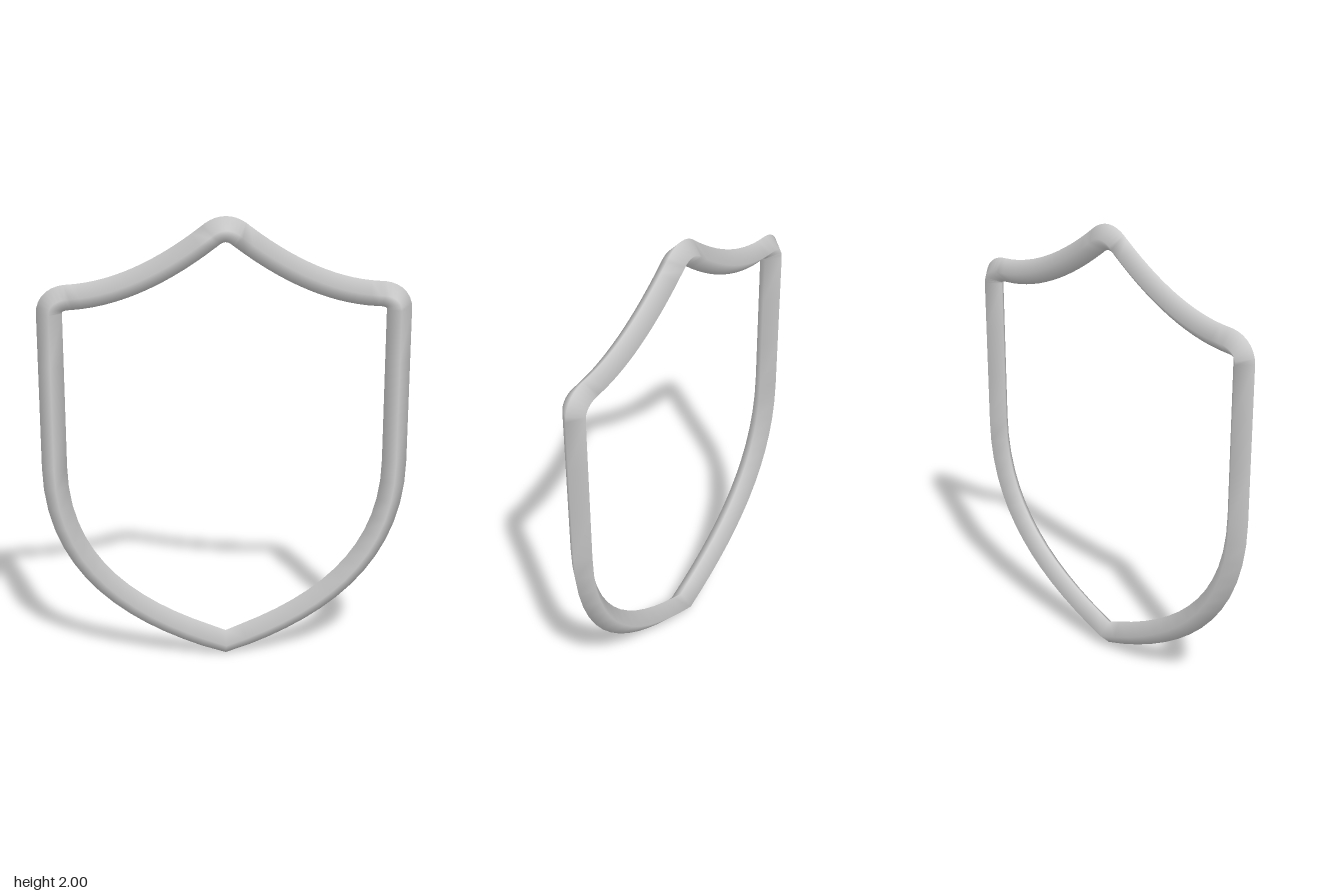
import * as THREE from 'three';

const RADIUS = 0.055;

// Right half of the rim's centre line, from the bottom tip up to the peak
function halfOutline() {
  const v = (x, y) => new THREE.Vector2(x, y);
  const curves = [
    [new THREE.CubicBezierCurve(v(0, 0.056), v(0.42, 0.2), v(0.752, 0.44), v(0.752, 0.91)), 14], // lower curve
    [new THREE.LineCurve(v(0.752, 0.91), v(0.752, 1.595)), 3], // straight side
    [new THREE.CubicBezierCurve(v(0.752, 1.595), v(0.752, 1.635), v(0.72, 1.663), v(0.66, 1.663)), 8], // shoulder
    [new THREE.QuadraticBezierCurve(v(0.66, 1.663), v(0.38, 1.68), v(0.07, 1.915)), 14], // sweep to the peak
    [new THREE.QuadraticBezierCurve(v(0.07, 1.915), v(0.035, 1.945), v(0, 1.945)), 5], // rounded peak
  ];
  const points = [];
  for (const [curve, n] of curves) points.push(...curve.getPoints(n).slice(0, -1));
  return [...points, v(0, 1.945)];
}

// Sweep a four-sided section round a closed, counter-clockwise loop
function sweepLoop(points, radius, sides) {
  const n = points.length, positions = [], index = [];
  points.forEach((p, i) => {
    const before = p.clone().sub(points[(i + n - 1) % n]).normalize();
    const after = points[(i + 1) % n].clone().sub(p).normalize();
    const t = before.add(after).normalize();
    for (let k = 0; k < sides; k++) {
      const a = (k / sides) * Math.PI * 2;
      const out = Math.cos(a) * radius;
      positions.push(p.x + t.y * out, p.y - t.x * out, Math.sin(a) * radius);
    }
    for (let k = 0; k < sides; k++) {
      const next = ((i + 1) % n) * sides, k2 = (k + 1) % sides;
      const a = i * sides + k, b = next + k, c = i * sides + k2, d = next + k2;
      index.push(a, b, c, b, d, c);
    }
  });
  const geometry = new THREE.BufferGeometry();
  geometry.setAttribute('position', new THREE.Float32BufferAttribute(positions, 3));
  geometry.setIndex(index);
  geometry.computeVertexNormals();
  return geometry;
}

export function createModel() {
  const group = new THREE.Group();
  group.name = 'shieldFrame';
  const grey = new THREE.MeshStandardMaterial({ color: 0xcccccc });
  grey.name = 'light grey';

  // Mirror the half outline into a closed loop
  const right = halfOutline();
  const left = right.slice(1, -1).reverse().map((p) => new THREE.Vector2(-p.x, p.y));
  const rim = new THREE.Mesh(sweepLoop([...right, ...left], RADIUS, 4), grey);
  rim.name = 'rim';
  group.add(rim);
  return group;
}
